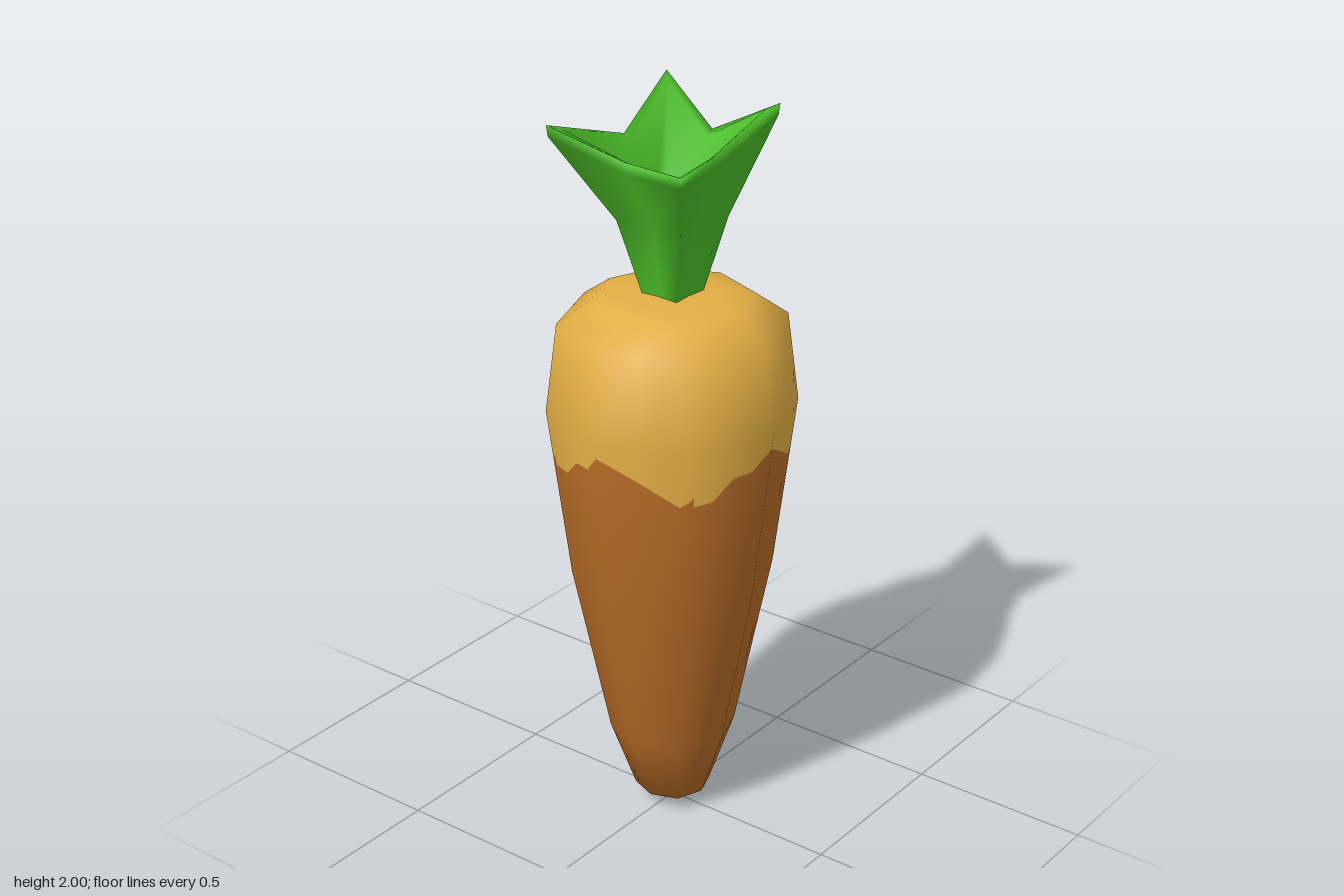
import * as THREE from 'three';

const skinMat = new THREE.MeshStandardMaterial({ name: 'orange skin', color: 0xb56b26 });
const creamMat = new THREE.MeshStandardMaterial({ name: 'cream top', color: 0xe2ae44 });
const leafMat = new THREE.MeshStandardMaterial({ name: 'leaf green', color: 0x4cc029 });

// Root profile: [radius, height] from tip to crown
const PROFILE = [[0, 0.005], [0.1, 0.05], [0.166, 0.24], [0.262, 0.72], [0.32, 1.19],
  [0.29, 1.43], [0.205, 1.49], [0.13, 1.503], [0, 1.505]];

// Colour border over one quarter: [facet, fraction along facet, height]
const BORDER = [[0, 0, 1.153], [0, 0.43, 1.1], [0, 0.9, 1.04], [1, 0, 1.06], [1, 0.06, 1.07], [1, 0.06, 1.042],
  [1, 0.3, 1.042], [1, 0.55, 1.095], [1, 0.78, 1.1]];

// Joins closed rings of equal length into an indexed surface, first ring lowest
function joinRings(rings) {
  const n = rings[0].length, index = [];
  for (let i = 0; i < rings.length - 1; i++) {
    for (let j = 0; j < n; j++) {
      const a = i * n + j, b = i * n + (j + 1) % n;
      index.push(a, b, b + n, a, b + n, a + n);
    }
  }
  const geo = new THREE.BufferGeometry();
  geo.setAttribute('position', new THREE.Float32BufferAttribute(rings.flat(2), 3));
  geo.setIndex(index);
  return geo;
}

// Unit-octagon corner k, counted from the front towards +x
function corner(k) {
  const a = k * Math.PI / 4, r = k % 2 ? 1.027 : 1;
  return new THREE.Vector2(Math.sin(a) * r, Math.cos(a) * r);
}

// Smooth profile normals as [outward, up]
const profileNormals = PROFILE.map((p, i) => {
  if (i === 0) return [0, -1];
  if (i === PROFILE.length - 1) return [0, 1];
  const sum = new THREE.Vector2();
  for (const [a, b] of [[PROFILE[i - 1], p], [p, PROFILE[i + 1]]]) {
    sum.add(new THREE.Vector2(b[1] - a[1], a[0] - b[0]).normalize());
  }
  return sum.normalize().toArray();
});

// Profile radius and normal at a height
function profileAt(y) {
  let i = 0;
  while (i < PROFILE.length - 2 && PROFILE[i + 1][1] < y) i++;
  const [a, b] = [PROFILE[i], PROFILE[i + 1]], t = (y - a[1]) / (b[1] - a[1]);
  const mix = k => THREE.MathUtils.lerp(profileNormals[i][k], profileNormals[i + 1][k], t);
  return { r: THREE.MathUtils.lerp(a[0], b[0], t), out: mix(0), up: mix(1) };
}

// Root section between fixed heights and the jagged border
function rootGeometry(levels) {
  const columns = [];
  for (let q = 0; q < 4; q++) {
    for (const [facet, t, y] of BORDER) {
      const k = q * 2 + facet;
      columns.push({ dir: corner(k).lerp(corner(k + 1), t), y });
    }
  }
  const normals = [];
  const rings = levels.map(level => columns.map(({ dir, y }) => {
    const h = level === 'border' ? y : level;
    const { r, out, up } = profileAt(h);
    const d = dir.clone().normalize();
    normals.push(...new THREE.Vector3(d.x * out, up, d.y * out).normalize().toArray());
    return [dir.x * r, h, dir.y * r];
  }));
  const geo = joinRings(rings);
  geo.setAttribute('normal', new THREE.Float32BufferAttribute(normals, 3));
  return geo;
}

// Leaf rim: notches and pointed tips alternate around the stem
const RIM = [[0, 1.89, 0.132], [0.207, 1.98, 0.176], [0.163, 1.89, 0], [0.206, 2, -0.178],
  [0, 1.89, -0.154], [-0.21, 1.95, -0.23], [-0.175, 1.89, -0.01], [-0.23, 1.91, 0.2]];

function leafGeometry() {
  // Four-pointed ring with separate notch and corner reach
  const star = (y, notch, tip) => RIM.map((_, k) => {
    const a = k * Math.PI / 4, r = k % 2 ? tip * Math.SQRT2 : notch;
    return [Math.sin(a) * r, y, Math.cos(a) * r];
  });
  const rim = (scale, drop) => RIM.map(([x, y, z]) => [x * scale, y - drop, z * scale]);
  return joinRings([
    star(1.49, 0.05, 0.053),
    star(1.7, 0.078, 0.1),
    rim(0.985, 0.03),
    rim(1, 0),
    rim(0.87, 0.012),
    star(1.71, 0.058, 0.075),
    star(1.5, 0.022, 0.025),
  ]);
}

export function createModel() {
  const group = new THREE.Group();
  const add = (name, geo, mat) => {
    const mesh = new THREE.Mesh(geo, mat);
    mesh.name = name;
    group.add(mesh);
  };
  const heights = PROFILE.map(p => p[1]);
  add('rootSkin', rootGeometry([...heights.slice(0, 4), 'border']), skinMat);
  add('rootCrown', rootGeometry(['border', ...heights.slice(4)]), creamMat);

  const leaf = leafGeometry();
  leaf.computeVertexNormals();
  add('leafTuft', leaf, leafMat);
  return group;
}
